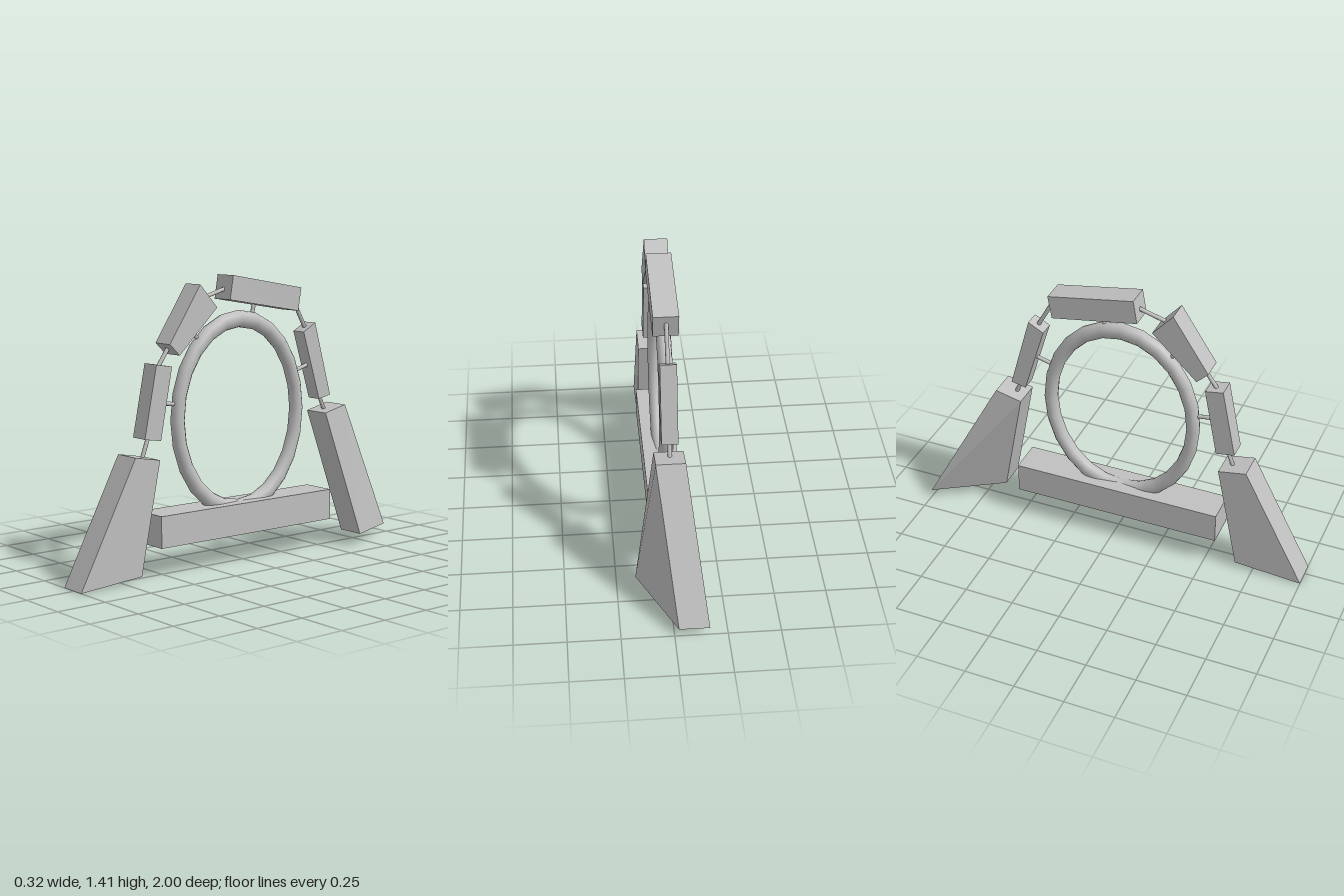
import * as THREE from 'three';
import { ConvexGeometry } from 'three/addons/geometries/ConvexGeometry.js';

const CX = -0.012; // shared centre plane of arch and ring

export function createModel() {
  const group = new THREE.Group();
  const stone = new THREE.MeshStandardMaterial({ color: 0xc0c0c0 });
  stone.name = 'light grey';

  const add = (name, geometry) => {
    const mesh = new THREE.Mesh(geometry, stone);
    mesh.name = name;
    group.add(mesh);
    return mesh;
  };

  // Solid from a (z, y) outline; each corner may carry its own x range
  const block = (name, x0, x1, corners) => {
    const points = corners.flatMap(([z, y, a = x0, b = x1]) => [
      new THREE.Vector3(a, y, z), new THREE.Vector3(b, y, z),
    ]);
    return add(name, new ConvexGeometry(points));
  };

  // Thin round bar between two (z, y) points
  const rod = (name, [z0, y0], [z1, y1]) => {
    const a = new THREE.Vector3(CX, y0, z0);
    const b = new THREE.Vector3(CX, y1, z1);
    const dir = b.clone().sub(a);
    const mesh = add(name, new THREE.CylinderGeometry(0.01, 0.01, dir.length(), 10));
    mesh.position.copy(a).add(b).multiplyScalar(0.5);
    mesh.quaternion.setFromUnitVectors(new THREE.Vector3(0, 1, 0), dir.normalize());
  };

  // Legs; the back one twists and splays at its foot
  block('frontLeg', -0.08, 0.06, [[1, 0], [0.66, 0.025], [0.55, 0.565], [0.69, 0.59]]);
  block('backLeg', -0.08, 0.06, [
    [-0.495, 0.693], [-0.63, 0.725],
    [-1, 0.04, -0.165, -0.02], [-0.65, 0.062, 0.018, 0.16],
  ]);

  // Arch blocks, front to back
  block('lowerFrontBlock', -0.057, 0.037, [[0.55, 1.01], [0.46, 0.995], [0.527, 0.65], [0.62, 0.665]]);
  block('upperFrontBlock', -0.068, 0.045, [[0.297, 1.373], [0.195, 1.26], [0.42, 1.045], [0.477, 1.1]]);
  block('topBlock', -0.07, 0.05, [[0.1, 1.41], [-0.335, 1.335], [-0.315, 1.22], [0.12, 1.293]]);
  block('backBlock', -0.051, 0.027, [[-0.45, 1.153], [-0.555, 0.78], [-0.48, 0.763], [-0.373, 1.11]]);

  // Base beam
  const base = add('base', new THREE.BoxGeometry(0.173, 0.154, 1.072));
  base.position.set(CX, 0.222, 0.019);

  // Oval ring
  const ring = add('ring', new THREE.TorusGeometry(1, 0.09, 12, 24));
  ring.rotation.y = Math.PI / 2;
  ring.scale.set(0.375, 0.467, 0.39);
  ring.position.set(CX, 0.728, 0.018);

  // Links between neighbouring blocks
  [
    [[0.607, 0.555], [0.563, 0.675]],
    [[0.515, 0.98], [0.435, 1.095]],
    [[0.26, 1.298], [0.09, 1.347]],
    [[-0.31, 1.315], [-0.425, 1.11]],
    [[-0.508, 0.79], [-0.558, 0.68]],
  ].forEach(([a, b]) => rod('linkRod', a, b));

  // Spokes from the arch to the ring
  [
    [[0.515, 0.823], [0.39, 0.807]],
    [[0.33, 1.185], [0.255, 1.09]],
    [[-0.085, 1.285], [-0.062, 1.19]],
    [[-0.445, 0.943], [-0.34, 0.913]],
  ].forEach(([a, b]) => rod('spoke', a, b));

  return group;
}
